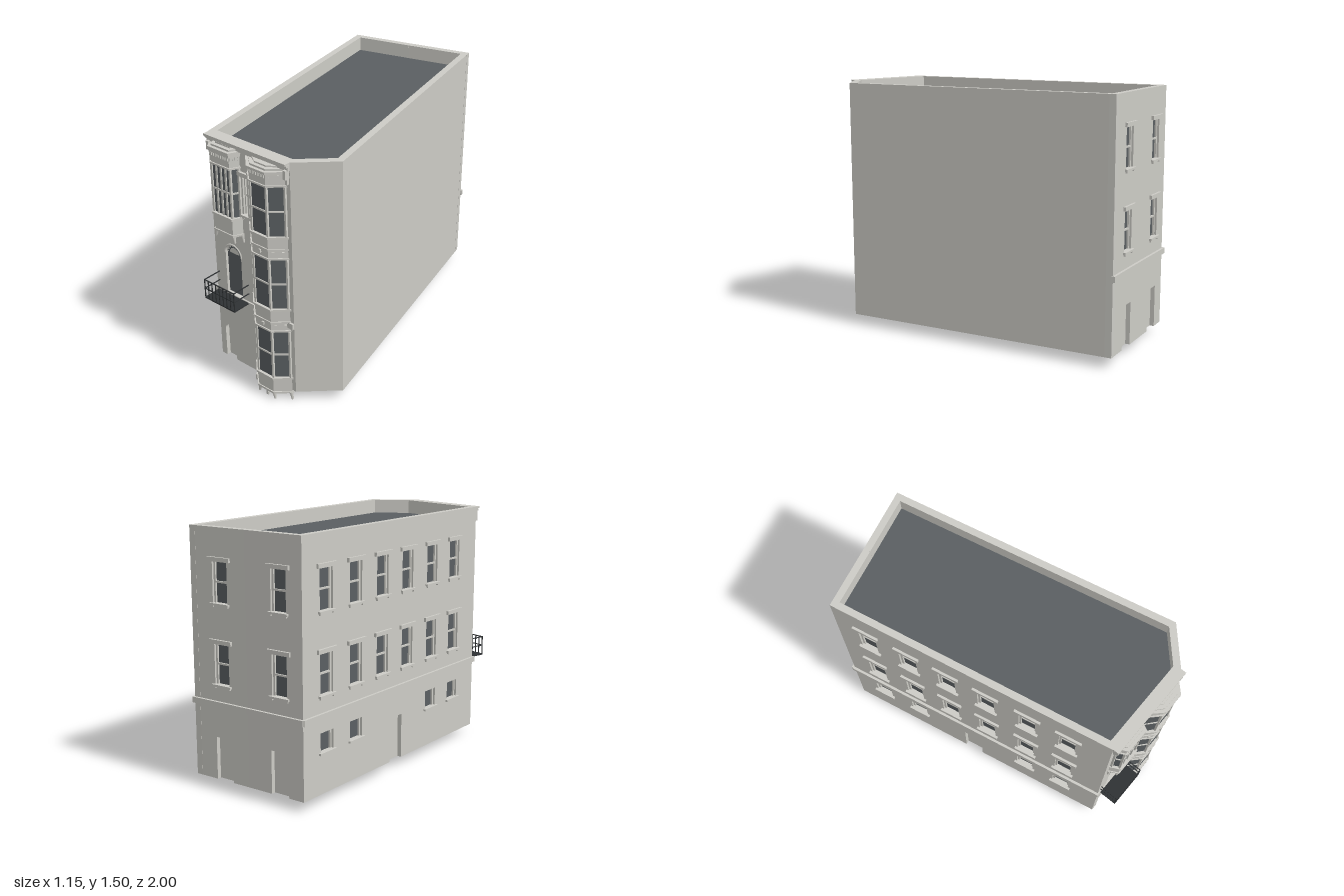
import * as THREE from 'three';

const mat = (name, color) => {
  const m = new THREE.MeshStandardMaterial({ color });
  m.name = name;
  return m;
};

export function createModel() {
  const stone = mat('pale stone', 0xcdccc6);
  const glass = mat('slate glass', 0x5a5f62);
  const iron = mat('dark iron', 0x2f3234);
  const model = new THREE.Group();
  model.name = 'cornerBuilding';

  const BASE = 0.06, TOP = 1.495, THICK = 0.04, FRONT = 0.88;

  const add = (parent, name, geo, m, x = 0, y = 0, z = 0) => {
    const mesh = new THREE.Mesh(geo, m);
    mesh.name = name;
    mesh.position.set(x, y, z);
    parent.add(mesh);
    return mesh;
  };
  const box = (parent, name, m, w, h, d, x, y, z) =>
    add(parent, name, new THREE.BoxGeometry(w, h, d), m, x, y, z);
  const group = (parent, name, x = 0, y = 0, z = 0) => {
    const g = new THREE.Group();
    g.name = name;
    g.position.set(x, y, z);
    parent.add(g);
    return g;
  };

  // Wall from a to b seen left to right from outside; local x runs along it, z points out
  function wall(name, a, b, { windows = [], doors = [], band = false } = {}) {
    const len = Math.hypot(b[0] - a[0], b[1] - a[1]);
    const g = group(model, name, a[0], 0, a[1]);
    g.rotation.y = Math.atan2(-(b[1] - a[1]), b[0] - a[0]);

    const shape = new THREE.Shape();
    shape.moveTo(0, BASE);
    for (const { u, w, y1, arch } of doors) {
      const r = w / 2;
      shape.lineTo(u - r, BASE);
      shape.lineTo(u - r, arch ? y1 - r : y1);
      if (arch) shape.absarc(u, y1 - r, r, Math.PI, 0, true);
      else shape.lineTo(u + r, y1);
      shape.lineTo(u + r, BASE);
    }
    shape.lineTo(len, BASE);
    shape.lineTo(len, TOP);
    shape.lineTo(0, TOP);
    shape.closePath();
    for (const { u, w, y0, y1, arch } of windows) {
      const r = w / 2, hole = new THREE.Path();
      hole.moveTo(u - r, y0);
      hole.lineTo(u + r, y0);
      hole.lineTo(u + r, arch ? y1 - r : y1);
      if (arch) hole.absarc(u, y1 - r, r, 0, Math.PI, false);
      else hole.lineTo(u - r, y1);
      hole.closePath();
      shape.holes.push(hole);
    }
    const geo = new THREE.ExtrudeGeometry(shape, { depth: THICK, bevelEnabled: false, curveSegments: 16 });
    add(g, 'masonry', geo.translate(0, 0, -THICK), stone);

    for (const d of doors) {
      const h = d.y1 - BASE, y = BASE + h / 2;
      box(g, 'doorPanel', stone, d.w, h, 0.006, d.u, y, -0.029);
      box(g, 'doorInside', glass, d.w, h, 0.006, d.u, y, -0.036);
    }
    for (const w of windows) if (!w.arch) sashWindow(g, w);
    if (band) box(g, 'stringCourse', stone, len + 0.016, 0.034, 0.02, len / 2, 0.505, 0.005);
    return g;
  }

  // Recessed glass with sash bars, plus lintel and sill
  function sashWindow(g, { u, w, y0, y1, plain }) {
    const h = y1 - y0, y = (y0 + y1) / 2, bar = Math.min(0.012, w * 0.14);
    box(g, 'windowGlass', glass, w, h, 0.006, u, y, -0.026);
    for (const s of [-1, 1]) box(g, 'sashStile', stone, bar, h, 0.014, u + s * (w - bar) / 2, y, -0.019);
    box(g, 'windowSill', stone, w + 0.03, 0.012, 0.026, u, y0 - 0.006, 0.002);
    if (plain) return;
    box(g, 'meetingRail', stone, w, 0.01, 0.012, u, y, -0.019);
    box(g, 'lintel', stone, w + 0.05, 0.024, 0.024, u, y1 + 0.012, 0.002);
    for (const s of [-1, 1]) box(g, 'sillBlock', stone, 0.016, 0.012, 0.014, u + s * w / 2, y0 - 0.016, 0.004);
  }

  // Footprint corners (x, z)
  const P = {
    fl: [-0.21, FRONT], fr: [0.375, FRONT], r: [0.57, 0.70],
    br: [0.19, -0.985], bm: [-0.19, -0.89], bl: [-0.56, -0.80],
  };
  const upper = (u, w) => [[1.08, 1.31], [0.62, 0.852]].map(([y0, y1]) => ({ u, w, y0, y1 }));

  const frontWall = wall('frontWall', P.fl, P.fr, {
    doors: [{ u: 0.08, w: 0.08, y1: 0.29, arch: true }],
    windows: [
      { u: 0.14, w: 0.12, y0: 0.522, y1: 0.845, arch: true },
      { u: 0.268, w: 0.05, y0: 1.08, y1: 1.31 },
    ],
  });
  wall('chamferWall', P.fr, P.r);
  wall('rightWall', P.r, P.br);
  wall('backWallOuter', P.br, P.bm, { band: true, windows: upper(0.21, 0.105), doors: [{ u: 0.215, w: 0.12, y1: 0.31 }] });
  wall('backWallInner', P.bm, P.bl, { band: true, windows: upper(0.225, 0.105), doors: [{ u: 0.22, w: 0.12, y1: 0.31 }] });
  const sideU = [0.2, 0.46, 0.71, 0.96, 1.22, 1.47];
  wall('leftWall', P.bl, P.fl, {
    band: true,
    doors: [{ u: 0.85, w: 0.12, y1: 0.33 }],
    windows: [
      ...sideU.flatMap(u => upper(u, 0.11)),
      ...[0, 1, 4, 5].map(i => ({ u: sideU[i], w: 0.11, y0: 0.3, y1: 0.41, plain: true })),
    ],
  });

  // Sunken roof behind the parapet
  const roofShape = new THREE.Shape(Object.values(P).map(([x, z]) => new THREE.Vector2(x * 0.98, -z * 0.98)));
  const roofGeo = new THREE.ExtrudeGeometry(roofShape, { depth: 0.02, bevelEnabled: false }).rotateX(-Math.PI / 2);
  add(model, 'roof', roofGeo, glass, 0, 1.39, 0);

  // Arched balcony door with fanlight
  box(frontWall, 'balconyDoorGlass', glass, 0.12, 0.27, 0.006, 0.14, 0.655, -0.02);
  add(frontWall, 'fanlight', new THREE.CircleGeometry(0.062, 20, 0, Math.PI), stone, 0.14, 0.787, -0.012);
  for (let i = 0; i < 7; i++) {
    const a = Math.PI * (0.08 + 0.14 * i);
    const pane = add(frontWall, 'fanlightPane', new THREE.CircleGeometry(0.011, 3), glass,
      0.14 + 0.042 * Math.cos(a), 0.787 + 0.042 * Math.sin(a), -0.01);
    pane.rotation.z = a;
  }
  add(frontWall, 'archTrim', new THREE.TorusGeometry(0.064, 0.005, 6, 20, Math.PI), stone, 0.14, 0.785, 0);
  box(frontWall, 'frontStringCourse', stone, 0.29, 0.034, 0.012, 0.145, 0.505, 0.002);
  box(frontWall, 'frontStringCourseEnd', stone, 0.04, 0.034, 0.02, 0.565, 0.505, 0.002);

  // Stepped cornice with end brackets
  [[0.012, 0.035, 1.489], [0.012, 0.026, 1.476], [0.02, 0.014, 1.46]].forEach(([h, d, y]) =>
    box(model, 'cornice', stone, 0.582, h, d, 0.083, y, FRONT + d / 2));
  for (const x of [-0.188, 0.362]) {
    box(model, 'corniceBracket', stone, 0.018, 0.05, 0.03, x, 1.43, FRONT + 0.015);
    box(model, 'corniceBracketDrop', stone, 0.012, 0.035, 0.016, x, 1.388, FRONT + 0.008);
  }

  // Canted bay: W and C are half widths at wall and front, D is the depth
  function bay(name, cx, W, C, D, storeys, bottom, top, mullions) {
    const g = group(model, name, cx, 0, FRONT);
    const ring = (part, m, y0, y1, grow) => {
      const w = W + grow, c = C + grow * 0.6, d = D + grow;
      const s = new THREE.Shape([[-w, 0.01], [-w, 0], [-c, -d], [c, -d], [w, 0], [w, 0.01]]
        .map(p => new THREE.Vector2(...p)));
      const geo = new THREE.ExtrudeGeometry(s, { depth: y1 - y0, bevelEnabled: false });
      add(g, part, geo.rotateX(-Math.PI / 2), m, 0, y0, 0);
    };
    // Small blocks set along the three faces
    const along = (part, m, y, w, h, d, side, front) => {
      const faces = [[[-W, 0], [-C, D], side], [[-C, D], [C, D], front], [[C, D], [W, 0], side]];
      for (const [a, b, n] of faces) for (let i = 0; i < n; i++) {
        const t = (i + 0.5) / n;
        const block = box(g, part, m, w, h, d, a[0] + (b[0] - a[0]) * t, y, a[1] + (b[1] - a[1]) * t);
        block.rotation.y = Math.atan2(a[1] - b[1], b[0] - a[0]);
      }
    };
    let prev = bottom;
    for (const [y0, y1] of storeys) {
      ring('apron', stone, prev, y0, 0);
      ring('sill', stone, y0 - 0.012, y0, 0.01);
      ring('bayGlass', glass, y0, y1, -0.006);
      ring('transom', stone, (y0 + y1) / 2 - 0.005, (y0 + y1) / 2 + 0.005, -0.001);
      ring('head', stone, y1, y1 + 0.01, 0.007);
      const h = y1 - y0, y = (y0 + y1) / 2;
      for (const s of [-1, 1]) {
        box(g, 'cornerPost', stone, 0.012, h, 0.012, s * C, y, D - 0.005);
        box(g, 'wallPost', stone, 0.012, h, 0.014, s * (W - 0.004), y, 0.005);
      }
      for (let i = 1; i <= mullions; i++)
        box(g, 'mullion', stone, 0.012, h, 0.01, -C + 2 * C * i / (mullions + 1), y, D - 0.006);
      if (prev > bottom) {
        ring('apronMoulding', stone, prev + 0.055, prev + 0.067, 0.006);
        along('apronBlock', stone, prev + 0.038, 0.014, 0.018, 0.016, 2, 1);
      }
      prev = y1;
    }
    // Frieze, dentils and stepped cap
    ring('frieze', stone, prev, top - 0.03, 0);
    along('dentil', stone, 1.41, 0.008, 0.018, 0.014, 4, Math.round(C / 0.009));
    ring('frieze', stone, 1.42, top - 0.03, 0.007);
    ring('capEdge', stone, top - 0.03, top - 0.018, 0.014);
    ring('cap', stone, top - 0.018, top - 0.008, -0.004);
    ring('capCrown', stone, top - 0.008, top, -0.025);
    // Base moulding and splayed feet
    ring('baseMoulding', stone, bottom, bottom + 0.012, 0.006);
    for (const s of [-1, 1]) {
      for (const [x, z] of [[W, 0.004], [C, D - 0.008]]) {
        const foot = add(g, 'foot', new THREE.CylinderGeometry(0.012, 0.006, 0.045, 8), stone,
          s * x, bottom - 0.017, z);
        foot.rotation.z = s * 0.2;
      }
    }
    return g;
  }

  const tall = bay('tallBay', 0.213, 0.135, 0.056, 0.07,
    [[0.15, 0.46], [0.61, 0.92], [1.06, 1.35]], 0.04, 1.458, 0);
  box(tall, 'centreFoot', stone, 0.014, 0.045, 0.014, 0, 0.0225, 0.058);
  bay('orielBay', -0.075, 0.095, 0.068, 0.052, [[1.06, 1.35]], 0.945, 1.47, 3);

  // Iron balcony
  const balcony = group(model, 'balcony', -0.077, 0, FRONT);
  const HW = 0.117, DEPTH = 0.118, T = 0.005;
  box(balcony, 'balconyFloor', iron, HW * 2, 0.008, DEPTH, 0, 0.514, DEPTH / 2);
  for (const y of [0.575, 0.632]) {
    box(balcony, 'frontRail', iron, HW * 2, T, T, 0, y, DEPTH - T / 2);
    for (const s of [-1, 1]) box(balcony, 'sideRail', iron, T, T, DEPTH, s * (HW - T / 2), y, DEPTH / 2);
  }
  for (let i = 0; i <= 8; i++)
    box(balcony, 'baluster', iron, T, 0.12, T, (HW - T / 2) * (i / 4 - 1), 0.573, DEPTH - T / 2);

  return model;
}
